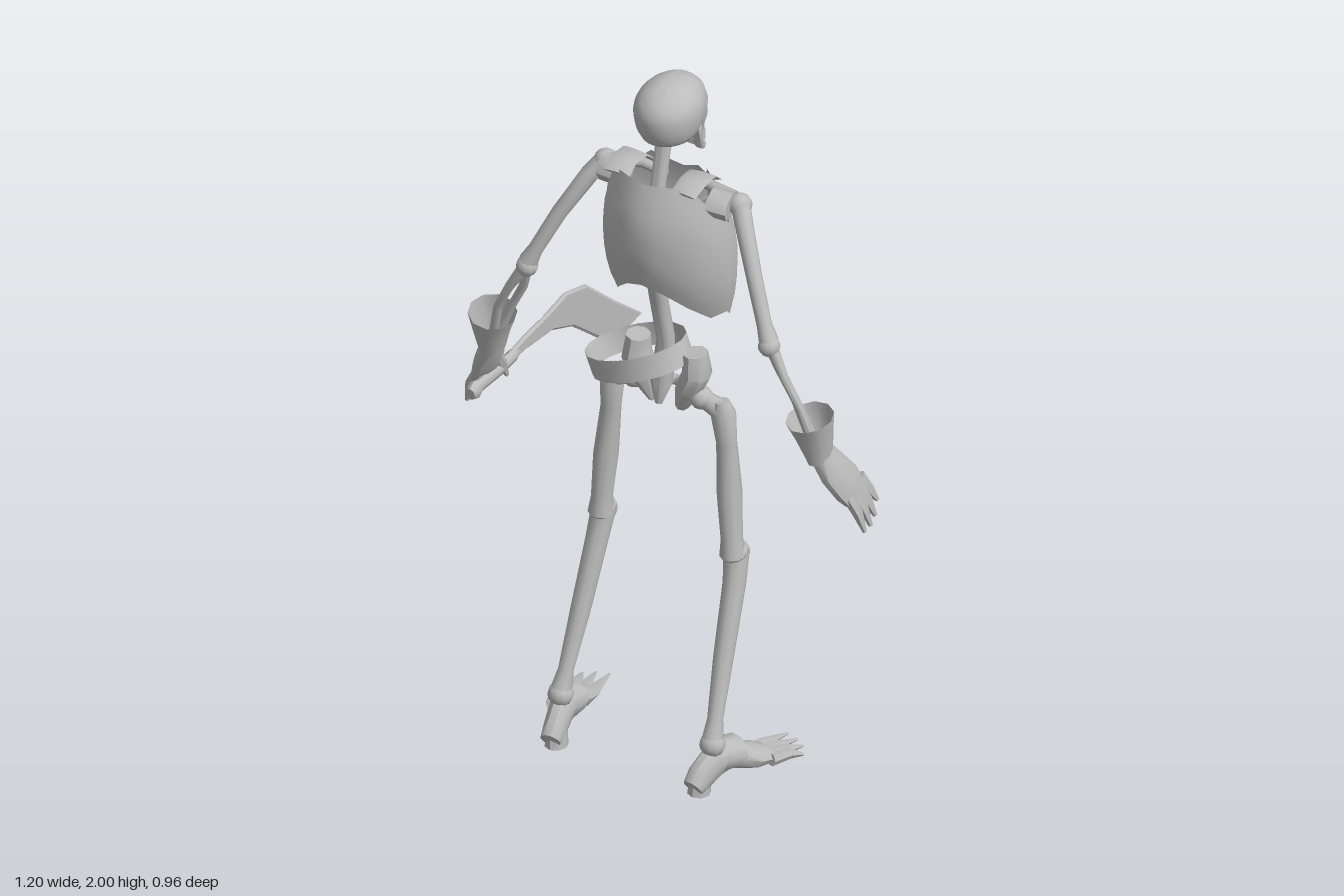
import * as THREE from 'three';
import { toCreasedNormals } from 'three/addons/utils/BufferGeometryUtils.js';

const bone = new THREE.MeshStandardMaterial({ color: 0xbbbbbb, side: THREE.DoubleSide });
bone.name = 'plain grey';
const V = (x, y, z) => new THREE.Vector3(x, y, z);

// Closed skin through elliptical rings; each ring is [x, y, z, width radius, depth radius]
function loft(rings, { ref = V(0, 0, 1), n = 10, caps = true } = {}) {
  const pos = [], idx = [], last = rings.length - 1;
  const at = i => V(...rings[i].slice(0, 3));
  rings.forEach((r, i) => {
    const t = at(Math.min(i + 1, last)).sub(at(Math.max(i - 1, 0))).normalize();
    const u = t.clone().cross(ref).normalize(), v = u.clone().cross(t);
    for (let j = 0; j < n; j++) {
      const a = (j / n) * Math.PI * 2;
      const p = at(i).addScaledVector(u, Math.cos(a) * r[3]).addScaledVector(v, Math.sin(a) * (r[4] ?? r[3]));
      pos.push(p.x, p.y, p.z);
      if (i < last) {
        const k = (j + 1) % n, b = i * n;
        idx.push(b + j, b + n + j, b + k, b + k, b + n + j, b + n + k);
      }
    }
  });
  if (caps) {
    const c = pos.length / 3;
    pos.push(...rings[0].slice(0, 3), ...rings[last].slice(0, 3));
    for (let j = 0; j < n; j++) {
      const k = (j + 1) % n, e = last * n;
      idx.push(c, j, k, c + 1, e + k, e + j);
    }
  }
  return surface(pos, idx);
}

function surface(pos, idx) {
  const g = new THREE.BufferGeometry();
  g.setAttribute('position', new THREE.Float32BufferAttribute(pos, 3));
  g.setIndex(idx);
  return g;
}

function add(parent, name, geo, crease = 0.8) {
  const m = new THREE.Mesh(toCreasedNormals(geo, crease), bone);
  m.name = name;
  parent.add(m);
  return m;
}

function ball(parent, name, x, y, z, rx, ry = rx, rz = rx) {
  return add(parent, name, new THREE.SphereGeometry(1, 10, 8).scale(rx, ry, rz).translate(x, y, z));
}

// Push in eye sockets and nose hole
function dent(geo) {
  const p = geo.attributes.position;
  for (let i = 0; i < p.count; i++) {
    if (p.getZ(i) > 0.19) continue;
    const x = Math.abs(p.getX(i)), y = p.getY(i);
    const eye = Math.hypot(x - 0.035, y - 1.885) / 0.026, nose = Math.hypot(x, y - 1.845) / 0.014;
    p.setZ(i, p.getZ(i) + 0.03 * Math.max(0, 1 - eye * eye) + 0.02 * Math.max(0, 1 - nose * nose));
  }
  return geo;
}

function buildHead() {
  const head = new THREE.Group();
  head.name = 'skull';
  // Rounded cranium with steep sides and a flattened base
  const c = new THREE.SphereGeometry(1, 28, 24), p = c.attributes.position;
  for (let i = 0; i < p.count; i++) {
    const x = p.getX(i), y = p.getY(i), z = p.getZ(i);
    p.setXYZ(i, x * 0.086 * (1 + 0.08 * z), Math.max(1.92 + y * (y > 0 ? 0.08 : 0.125), 1.842), 0.23 + z * 0.112);
  }
  add(head, 'cranium', dent(c), 0.9);
  add(head, 'face', dent(loft([
    [0, 1.945, 0.18, 0.06, 0.055], [0, 1.91, 0.175, 0.07, 0.058], [0, 1.888, 0.172, 0.068, 0.05],
    [0, 1.865, 0.167, 0.065, 0.052], [0, 1.845, 0.163, 0.058, 0.053], [0, 1.825, 0.155, 0.048, 0.052],
    [0, 1.8, 0.15, 0.043, 0.048]], { n: 28 })), 0.9);
  for (const s of [-1, 1])
    add(head, 'jawBranch', loft([[s * 0.06, 1.855, 0.195, 0.009, 0.018], [s * 0.056, 1.79, 0.185, 0.009, 0.018],
      [s * 0.045, 1.77, 0.15, 0.01, 0.016], [0, 1.77, 0.11, 0.01, 0.016]], { ref: V(0.3 * s, 0.9, 0.5), n: 8 }));
  add(head, 'chin', new THREE.BoxGeometry(0.06, 0.032, 0.04).translate(0, 1.773, 0.128));
  return head;
}

// Breastplate: columns from back to front [x share, z share, hem height, top height]
function breastplate() {
  const half = [[0, 0, 1.45, 1.75], [0.3, 0.04, 1.425, 1.75], [0.6, 0.12, 1.375, 1.75], [0.85, 0.25, 1.33, 1.735],
    [1, 0.42, 1.34, 1.66], [0.97, 0.55, 1.31, 1.61], [0.88, 0.65, 1.335, 1.63], [0.78, 0.72, 1.305, 1.7],
    [0.6, 0.8, 1.335, 1.73], [0.45, 0.86, 1.285, 1.7], [0.2, 0.94, 1.34, 1.655], [0, 1, 1.4, 1.655]];
  // Heights with [y, half width, back z, front z]
  const levels = [[1.28, 0.15, 0.29, 0.11], [1.4, 0.18, 0.36, 0.065], [1.5, 0.183, 0.395, 0.042],
    [1.57, 0.178, 0.402, 0.053], [1.65, 0.165, 0.4, 0.09], [1.75, 0.13, 0.365, 0.16]];
  const section = y => {
    let i = 0;
    while (i < levels.length - 2 && y > levels[i + 1][0]) i++;
    const a = levels[i], b = levels[i + 1], t = (y - a[0]) / (b[0] - a[0]);
    return a.map((q, k) => q + (b[k] - q) * t);
  };
  const cols = [...half, ...half.slice(1, -1).reverse().map(([x, ...r]) => [-x, ...r])];
  const pos = [], idx = [], rows = 8, n = cols.length;
  cols.forEach(([x, t, hem, top], j) => {
    for (let i = 0; i <= rows; i++) {
      const y = hem + (top - hem) * (i / rows), [, w, zb, zf] = section(y);
      pos.push(x * w, y, zb + (zf - zb) * t);
      if (i < rows) {
        const a = j * (rows + 1) + i, b = ((j + 1) % n) * (rows + 1) + i;
        idx.push(a, b, a + 1, a + 1, b, b + 1);
      }
    }
  });
  return surface(pos, idx);
}

function buildArm(s) {
  const arm = new THREE.Group();
  arm.name = s > 0 ? 'leftArm' : 'rightArm';
  add(arm, 'collarbone', loft([[s * 0.03, 1.68, 0.2, 0.012], [s * 0.1, 1.69, 0.2, 0.014], [s * 0.18, 1.685, 0.215, 0.02]], { n: 8 }));
  add(arm, 'shoulderBlade', loft([[s * 0.13, 1.68, 0.25, 0.035, 0.045], [s * 0.185, 1.675, 0.24, 0.037, 0.045]], { n: 8 }));
  ball(arm, 'shoulderJoint', s * 0.2, 1.675, 0.22, 0.032);
  add(arm, 'upperArm', loft([[s * 0.2, 1.68, 0.22, 0.026], [s * 0.23, 1.64, 0.25, 0.024], [s * 0.29, 1.53, 0.3, 0.021],
    [s * 0.34, 1.42, 0.333, 0.02], [s * 0.358, 1.38, 0.34, 0.026]]));
  ball(arm, 'elbow', s * 0.36, 1.367, 0.343, 0.029);
  for (const [dx, dz] of [[0.014, 0.012], [-0.014, -0.014]])
    add(arm, 'forearmBone', loft([[s * 0.362, 1.37, 0.34, 0.018], [s * (0.395 + dx), 1.29, 0.338 + dz, 0.012],
      [s * (0.435 + dx), 1.21, 0.33 + dz, 0.011], [s * 0.482, 1.07, 0.31, 0.016]], { n: 8 }));
  // Flared glove cuff, open at the top
  add(arm, 'gloveCuff', loft([[s * 0.472, 1.178, 0.328, 0.064, 0.064], [s * 0.48, 1.12, 0.317, 0.048, 0.053],
    [s * 0.487, 1.05, 0.303, 0.031, 0.042]], { caps: false }));
  add(arm, 'palm', loft([[s * 0.486, 1.07, 0.306, 0.028, 0.038], [s * 0.51, 1.01, 0.28, 0.031, 0.052],
    [s * 0.535, 0.955, 0.25, 0.028, 0.058], [s * 0.548, 0.925, 0.235, 0.018, 0.052]]));
  const tips = [[0.592, 0.828, 0.255], [0.592, 0.83, 0.225], [0.587, 0.842, 0.195], [0.577, 0.872, 0.168]];
  tips.forEach(([x, y, z], i) => {
    const bz = 0.273 - i * 0.025;
    add(arm, 'finger', loft([[s * 0.54, 0.95, bz, 0.017], [s * (x - 0.015), (0.95 + y) / 2 - 0.005, (bz + z) / 2, 0.015],
      [s * x, y, z, 0.006]], { n: 6 }));
  });
  add(arm, 'thumb', loft([[s * 0.512, 1.0, 0.255, 0.018], [s * 0.507, 0.95, 0.222, 0.015], [s * 0.503, 0.905, 0.205, 0.006]], { n: 6 }));
  return arm;
}

function buildLeg(s) {
  const leg = new THREE.Group();
  leg.name = s > 0 ? 'leftLeg' : 'rightLeg';
  ball(leg, 'hipJoint', s * 0.1, 1.065, 0.245, 0.032);
  add(leg, 'hipNeck', loft([[s * 0.1, 1.065, 0.245, 0.022], [s * 0.165, 1.045, 0.245, 0.03]], { n: 8 }));
  add(leg, 'thighBone', loft([[s * 0.16, 1.075, 0.245, 0.02], [s * 0.165, 1.04, 0.245, 0.033], [s * 0.172, 0.95, 0.24, 0.027],
    [s * 0.184, 0.8, 0.245, 0.031, 0.038], [s * 0.193, 0.67, 0.25, 0.026, 0.034], [s * 0.196, 0.62, 0.25, 0.034, 0.036]]));
  ball(leg, 'knee', s * 0.197, 0.625, 0.24, 0.034, 0.026, 0.045);
  ball(leg, 'kneeCap', s * 0.197, 0.608, 0.208, 0.024, 0.03, 0.018);
  add(leg, 'shinBone', loft([[s * 0.198, 0.615, 0.235, 0.032, 0.036], [s * 0.204, 0.54, 0.255, 0.029, 0.034],
    [s * 0.213, 0.35, 0.325, 0.026, 0.028], [s * 0.222, 0.2, 0.38, 0.02, 0.022], [s * 0.226, 0.14, 0.4, 0.03]]));
  ball(leg, 'ankle', s * 0.226, 0.135, 0.4, 0.034);
  const up = { ref: V(0, 1, 0) };
  // Heel drops to the ground, arch rises, ball of the foot spreads
  add(leg, 'foot', loft([[s * 0.212, 0.038, 0.474, 0.028, 0.028], [s * 0.216, 0.056, 0.445, 0.03, 0.046],
    [s * 0.226, 0.08, 0.4, 0.032, 0.052], [s * 0.24, 0.078, 0.345, 0.036, 0.036], [s * 0.262, 0.046, 0.275, 0.05, 0.034],
    [s * 0.272, 0.03, 0.225, 0.052, 0.02]], up));
  add(leg, 'heel', loft([[s * 0.214, 0.06, 0.44, 0.026, 0.032], [s * 0.212, 0.008, 0.443, 0.03, 0.034]], { n: 8 }));
  add(leg, 'ankleStrap', loft([[s * 0.229, 0.092, 0.39, 0.043, 0.045], [s * 0.242, 0.078, 0.32, 0.048, 0.045]], { ...up, caps: false }));
  // Long clawed toes
  [[0.265, 0.092], [0.3, 0.102], [0.328, 0.122], [0.35, 0.155]].forEach(([x, z], i) => {
    const bx = 0.236 + i * 0.026;
    add(leg, 'toe', loft([[s * bx, 0.034, 0.255, 0.014, 0.018], [s * (bx * 0.6 + x * 0.4), 0.024, 0.19, 0.016],
      [s * x, 0.006, z, 0.003]], { ...up, n: 6 }));
  });
  return leg;
}

function buildSword() {
  const sword = new THREE.Group();
  sword.name = 'curvedSword';
  const outline = [[0.2, 0.95], [0.1, 0.963], [0, 0.967], [-0.1, 0.98], [-0.2, 0.948], [-0.335, 0.825], [-0.473, 0.708],
    [-0.35, 0.695], [-0.26, 0.75], [-0.19, 0.81], [-0.13, 0.86], [-0.03, 0.905], [0.1, 0.92], [0.2, 0.922]];
  const shape = new THREE.Shape(outline.map(([z, y]) => new THREE.Vector2(-z, y)));
  const blade = new THREE.ExtrudeGeometry(shape, { depth: 0.004, bevelEnabled: true, bevelThickness: 0.005, bevelSize: 0.006, bevelOffset: -0.006, bevelSegments: 1 });
  add(sword, 'blade', blade.translate(0, 0, -0.002).rotateY(Math.PI / 2).translate(-0.513, 0, 0), 0.3);
  add(sword, 'handle', loft([[-0.513, 0.935, 0.37, 0.014, 0.018], [-0.513, 0.938, 0.35, 0.02, 0.027], [-0.513, 0.937, 0.325, 0.014, 0.018],
    [-0.513, 0.935, 0.24, 0.016, 0.02], [-0.513, 0.935, 0.16, 0.015, 0.018], [-0.513, 0.937, 0.13, 0.007, 0.014]], { ref: V(0, 1, 0), n: 8 }));
  return sword;
}

export function createModel() {
  const model = new THREE.Group();
  model.name = 'armouredSkeleton';
  model.add(buildHead());
  add(model, 'spine', loft([[0, 1.87, 0.255, 0.022], [0, 1.72, 0.29, 0.02], [0, 1.55, 0.33, 0.024], [0, 1.38, 0.295, 0.024],
    [0, 1.22, 0.255, 0.024], [0, 1.1, 0.275, 0.03], [0, 1.04, 0.29, 0.01]]));
  add(model, 'breastplate', breastplate(), 1);
  for (const s of [-1, 1]) {
    // Broad strap closing the plate over the shoulder
    add(model, 'shoulderStrap', loft([[s * 0.1, 1.735, 0.335, 0.036, 0.005], [s * 0.102, 1.752, 0.29, 0.038, 0.005],
      [s * 0.1, 1.748, 0.24, 0.038, 0.005], [s * 0.093, 1.71, 0.195, 0.034, 0.005]], { ref: V(0, 1, 0), n: 8 }));
    // Pelvis wing and lower ring
    add(model, 'hipWing', loft([[s * 0.085, 1.2, 0.25, 0.032, 0.035], [s * 0.09, 1.14, 0.25, 0.038, 0.045],
      [s * 0.065, 1.085, 0.25, 0.036, 0.038], [s * 0.04, 1.02, 0.24, 0.018, 0.022]], { n: 8 }));
    add(model, 'hipBridge', loft([[s * 0.075, 1.07, 0.235, 0.016], [0, 1.06, 0.2, 0.014]], { n: 8 }));
    model.add(buildArm(s), buildLeg(s));
  }
  // Loose belt hanging askew
  const belt = add(model, 'belt', new THREE.CylinderGeometry(1, 1, 0.065, 16, 1, true).scale(0.147, 1, 0.108));
  belt.position.set(-0.075, 1.152, 0.262);
  belt.rotation.z = 0.36;
  model.add(buildSword());
  return model;
}
